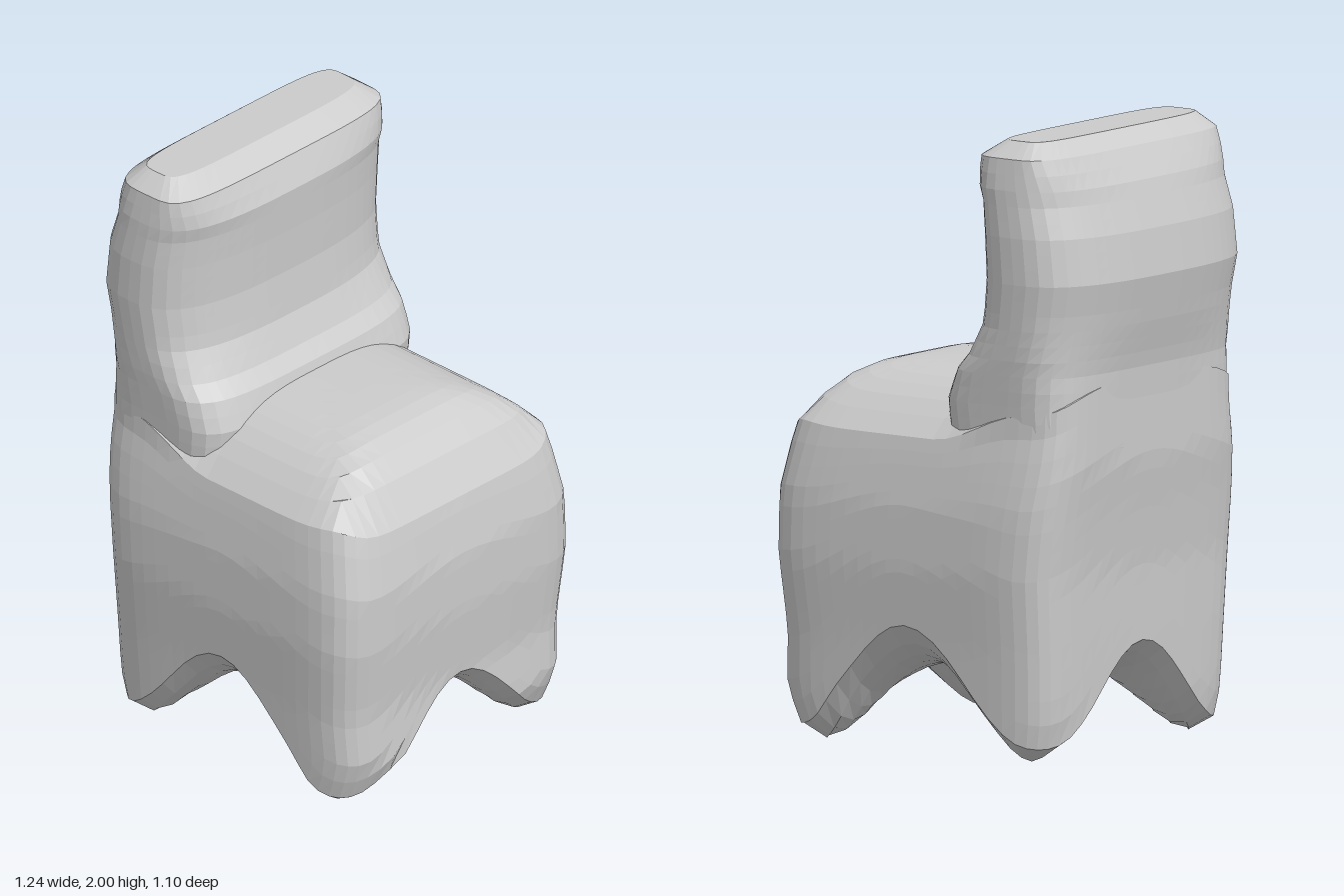
import * as THREE from 'three';

const { lerp, smoothstep, clamp } = THREE.MathUtils;

// Silhouettes by height: [y, xMin, xMax, half depth]
const BODY = [
  [0, -0.46, 0.53, 0.5], [0.08, -0.49, 0.56, 0.515], [0.17, -0.5, 0.6, 0.52], [0.35, -0.505, 0.59, 0.53],
  [0.6, -0.51, 0.615, 0.55], [0.8, -0.53, 0.615, 0.545], [0.95, -0.55, 0.585, 0.52], [1.05, -0.55, 0.56, 0.498],
  [1.22, -0.55, 0.54, 0.49],
];
const BACK = [
  [0.8, -0.52, -0.05, 0.46], [1.0, -0.55, -0.04, 0.485], [1.15, -0.55, -0.02, 0.495], [1.25, -0.555, -0.05, 0.503],
  [1.3, -0.565, -0.09, 0.507], [1.4, -0.59, -0.13, 0.512], [1.55, -0.62, -0.145, 0.52], [1.7, -0.6, -0.14, 0.52],
  [1.85, -0.55, -0.13, 0.51], [1.95, -0.49, -0.17, 0.495], [2.0, -0.43, -0.25, 0.43],
];

// Linear lookup in a silhouette table
function sample(table, y) {
  let i = 0;
  while (i < table.length - 2 && y > table[i + 1][0]) i++;
  const a = table[i], b = table[i + 1];
  const t = clamp((y - a[0]) / (b[0] - a[0]), 0, 1);
  return a.map((v, k) => v + (b[k] - v) * t);
}

// Reshape a subdivided cube: heightAt(p, v, q) gives y, power(y) the corner roundness
function softBlock(name, segments, table, heightAt, power, material) {
  const geometry = new THREE.BoxGeometry(2, 2, 2, ...segments);
  const pos = geometry.attributes.position;
  for (let i = 0; i < pos.count; i++) {
    const u = pos.getX(i), v = pos.getY(i), w = pos.getZ(i);
    const round = (n) => {
      const m = Math.max(Math.abs(u), Math.abs(w));
      return m < 1e-6 ? 1 : m / Math.pow(Math.abs(u) ** n + Math.abs(w) ** n, 1 / n);
    };
    const k = round(8);
    const y = heightAt(u * k, v, w * k);
    const s = round(power(y));
    const [, x0, x1, hz] = sample(table, y);
    pos.setXYZ(i, (x0 + x1) / 2 + ((x1 - x0) / 2) * u * s, y, hz * w * s);
  }
  geometry.computeVertexNormals();
  const mesh = new THREE.Mesh(geometry, material);
  mesh.name = name;
  return mesh;
}

// Crowned seat: falls away to the front and sides, stays high under the backrest
function seatTop(p, q) {
  const rear = smoothstep(-p, 0.1, 0.7);
  const frontDrop = 0.23 * Math.max(p, 0) ** 7;
  const sideDrop = 0.2 * (1 - 0.5 * rear) * Math.abs(q) ** 3.5;
  return 1.22 - Math.hypot(frontDrop, sideDrop);
}

// Vaulted underside with a hanging belly, coming down to four stubby feet
function underside(p, q) {
  const arch = (t) => 0.5 + 0.5 * Math.cos((Math.PI * t) / 0.82);
  const hill = 1 - (1 - arch(p)) * (1 - arch(q));
  const rim = 0.1 * Math.abs(p) ** 5 + 0.16 * Math.abs(q) ** 5;
  return 0.255 * hill + rim * hill ** 0.6;
}

// The backrest has a boxier foot and crest than its middle
function backPower(y) {
  return 2.8 + 2.5 * (1 - smoothstep(y, 1.05, 1.45)) + 2 * smoothstep(y, 1.8, 2);
}

export function createModel() {
  const group = new THREE.Group();
  group.name = 'chair';
  const material = new THREE.MeshStandardMaterial({ color: 0xcccccc, flatShading: true });

  // Seat block with its feet
  group.add(softBlock('seatAndFeet', [20, 14, 20], BODY,
    (p, v, q) => lerp(underside(p, q), seatTop(p, q), (v + 1) / 2),
    () => 8, material));

  // Backrest, flaring into the seat
  group.add(softBlock('backrest', [10, 24, 16], BACK,
    (p, v) => 1.4 + 0.6 * v, backPower, material));

  return group;
}
